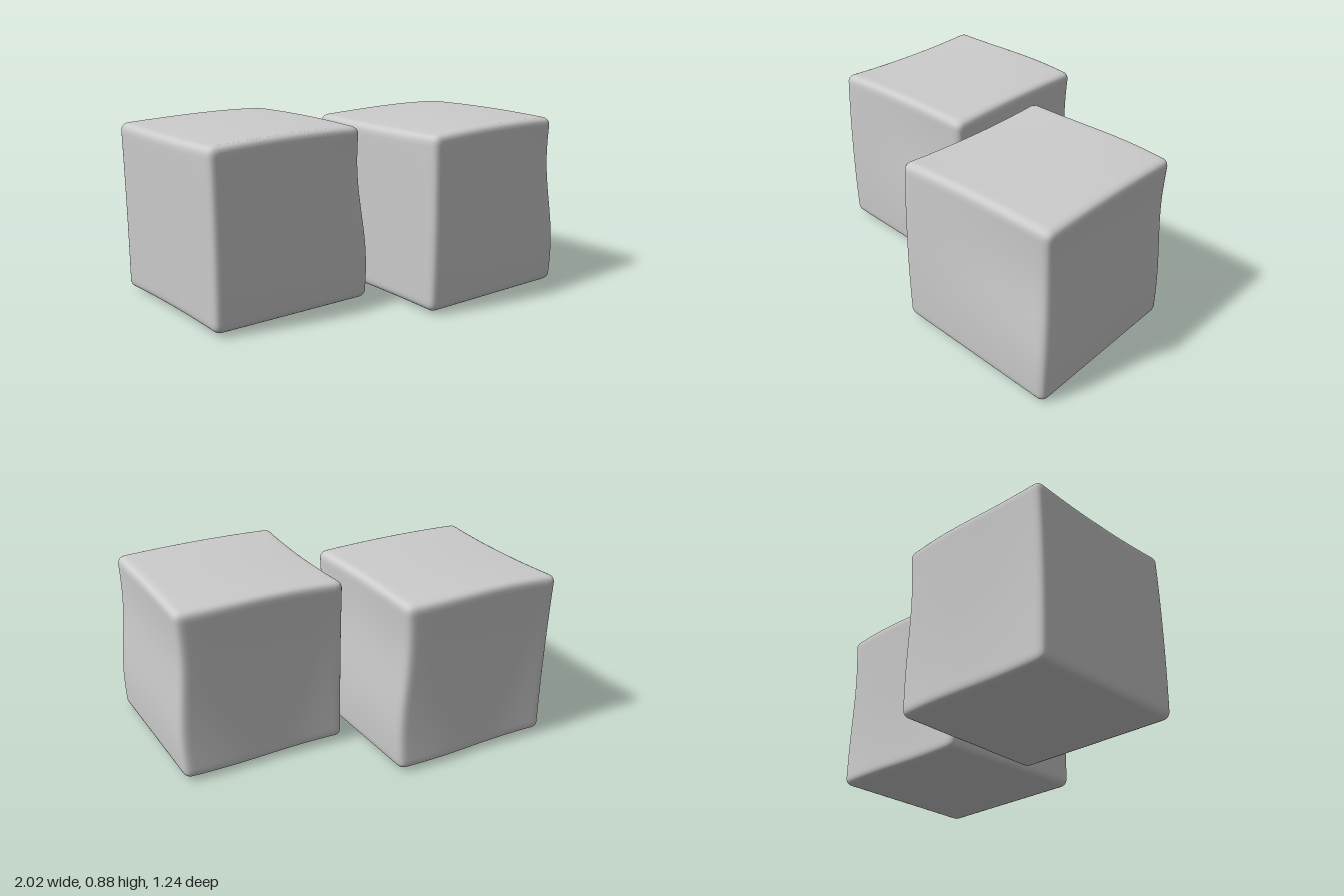
import * as THREE from 'three';
import { mergeVertices } from 'three/addons/utils/BufferGeometryUtils.js';

// Corners of one block, about its own centre: [x, y, z]
const BOTTOM = { bl: [-0.51, 0.015, -0.367], br: [0.325, 0.012, -0.515], fr: [0.512, 0.0, 0.345], fl: [-0.363, 0.015, 0.498] };
const TOP = { bl: [-0.513, 0.874, -0.367], br: [0.32, 0.872, -0.51], fr: [0.487, 0.869, 0.322], fl: [-0.363, 0.872, 0.495] };

const mix = (a, b, t) => a.map((n, i) => n + (b[i] - n) * t);
const quad = (c, s, t) => mix(mix(c.bl, c.br, s), mix(c.fl, c.fr, s), t);

// Cube with softened edges, skewed to the corners and gently bowed
function softBlockGeometry() {
  const n = 32, r = 0.09;
  let geo = new THREE.BoxGeometry(2, 2, 2, n, n, n);
  geo.deleteAttribute('normal');
  geo.deleteAttribute('uv');
  geo = mergeVertices(geo);
  const pos = geo.attributes.position;
  const p = new THREE.Vector3(), core = new THREE.Vector3();
  for (let i = 0; i < pos.count; i++) {
    p.fromBufferAttribute(pos, i);
    // rows gather towards the edges
    for (const k of ['x', 'y', 'z']) p[k] = Math.sin(p[k] * Math.PI / 2);
    core.copy(p).clampScalar(-1 + r, 1 - r);
    p.sub(core).normalize().multiplyScalar(r).add(core);

    const { x: u, y: v, z: w } = p;
    const q = mix(quad(BOTTOM, (u + 1) / 2, (w + 1) / 2), quad(TOP, (u + 1) / 2, (w + 1) / 2), (v + 1) / 2);
    const bu = 1 - u * u, bv = 1 - v * v, bw = 1 - w * w;
    const top = (1 + v) / 2, front = (1 + w) / 2, right = (1 + u) / 2;
    // sides bow and wave
    q[0] += right * -0.011 * Math.sin(Math.PI * v) + (1 - right) * 0.008 * bw;
    q[2] += front * (0.01 * bv * (1 - u) / 2 - 0.009 * Math.sin(Math.PI * v) * right);
    q[2] += (1 - front) * (0.01 * bv - 0.007 * Math.sin(Math.PI * u));
    // top swells at the middle and right, dips along the left edge
    q[1] += top * (0.011 * bu + 0.011 * u * bw) + (1 - top) * 0.004 * bw * (1 - u) / 2;
    pos.setXYZ(i, ...q);
  }
  geo.computeVertexNormals();
  return geo;
}

export function createModel() {
  const group = new THREE.Group();
  const geometry = softBlockGeometry();
  const material = new THREE.MeshStandardMaterial({ color: 0xcccccc });
  // Two identical blocks, standing side by side and staggered
  for (const [name, side] of [['rightBlock', -1], ['leftBlock', 1]]) {
    const block = new THREE.Mesh(geometry, material);
    block.name = name;
    block.position.set(side * 0.5, 0, side * 0.118);
    group.add(block);
  }
  return group;
}
